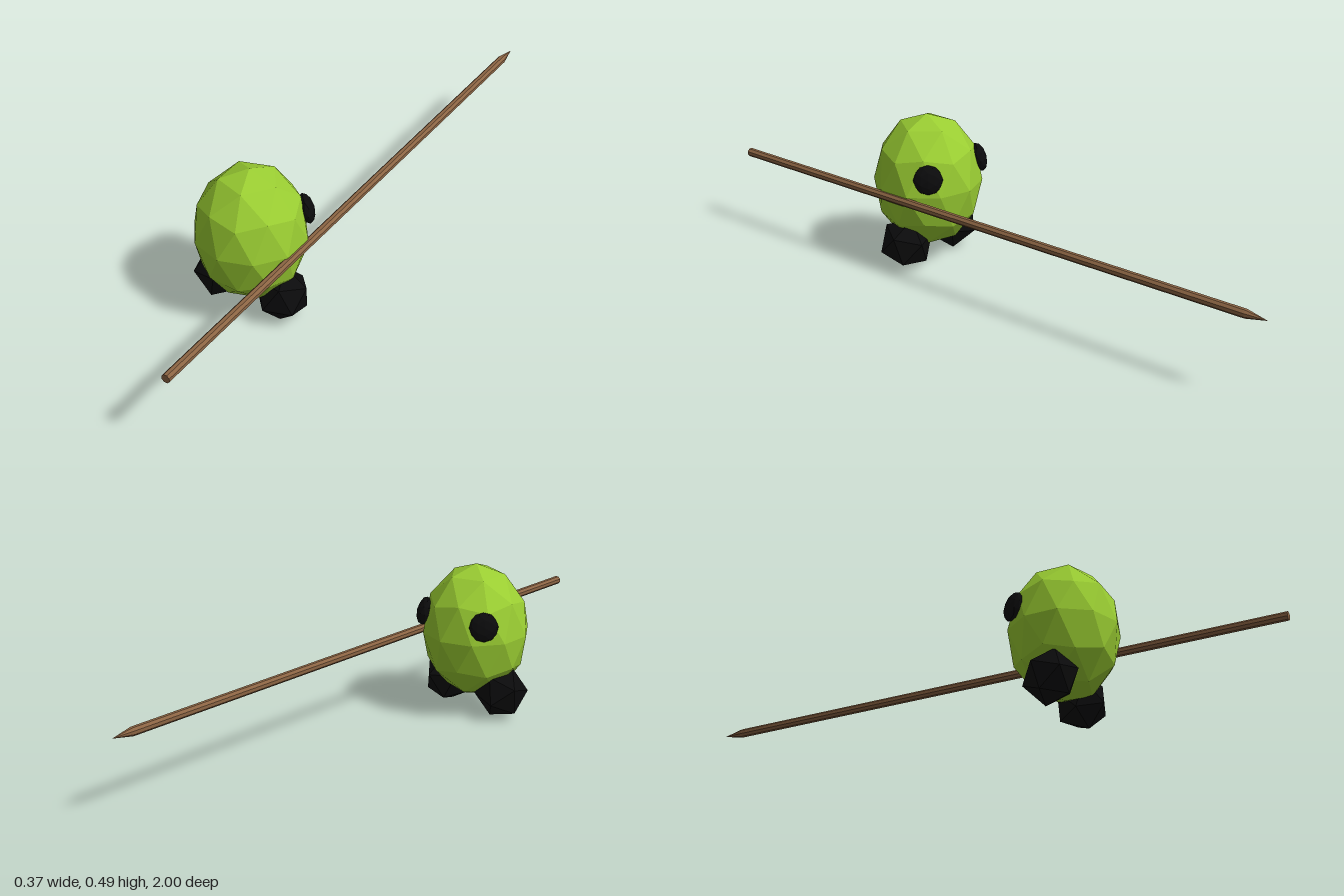
import * as THREE from 'three';

export function createModel() {
  const paint = (name, color) => {
    const m = new THREE.MeshStandardMaterial({ color, flatShading: true });
    m.name = name;
    return m;
  };
  const green = paint('lime green', 0x9acd32);
  const black = paint('black', 0x0b0b0c);
  const brown = paint('wood brown', 0x8b6443);

  const model = new THREE.Group();
  model.name = 'spearCreature';
  const add = (name, geometry, material, x, y, z) => {
    const mesh = new THREE.Mesh(geometry, material);
    mesh.name = name;
    mesh.position.set(x, y, z);
    model.add(mesh);
    return mesh;
  };

  // Body: faceted egg with one vertex at the very top
  const golden = (1 + Math.sqrt(5)) / 2;
  const egg = new THREE.IcosahedronGeometry(1, 1);
  egg.rotateZ(-Math.atan(1 / golden));
  egg.scale(0.174, 0.221, 0.174);
  add('body', egg, green, 0, 0.274, 0.354);

  // Feet: icosahedra, each turned so that the edge a-b gets its place
  const addFoot = (name, x, a, b) => {
    const u = a.clone().sub(b).normalize();
    const w = u.clone().cross(a.clone().add(b)).normalize();
    const v = w.clone().cross(u);
    const foot = new THREE.IcosahedronGeometry(0.0865, 0);
    foot.applyMatrix4(new THREE.Matrix4().makeBasis(u, v, w));
    add(name, foot, black, x, 0.0855, 0.355);
  };
  addFoot('leftFoot', 0.11,
    new THREE.Vector3(0.076, 0.0375, -0.0148), new THREE.Vector3(0.062, -0.0485, -0.0386));
  addFoot('rightFoot', -0.11,
    new THREE.Vector3(-0.077, 0.03, -0.027), new THREE.Vector3(-0.063, -0.0585, -0.0074));

  // Eyes: flattened balls set into the sides of the face, which looks towards -z
  for (const side of [1, -1]) {
    const eye = add(side > 0 ? 'leftEye' : 'rightEye',
      new THREE.IcosahedronGeometry(1, 1), black, side * 0.124, 0.335, 0.245);
    eye.scale.set(0.047, 0.047, 0.025);
    eye.lookAt(side * 0.248, 0.375, 0.136);
  }

  // Spear: long shaft and pointed tip, rising slightly towards the tip
  const spear = new THREE.Group();
  spear.name = 'spear';
  const shaft = new THREE.Mesh(new THREE.CylinderGeometry(0.014, 0.014, 1.93, 8), brown);
  shaft.name = 'spearShaft';
  shaft.position.y = 0.035 - 0.07 + 0.07;
  shaft.rotation.y = Math.PI / 8;
  const tip = new THREE.Mesh(new THREE.ConeGeometry(0.014, 0.07, 8), brown);
  tip.name = 'spearTip';
  tip.rotation.y = Math.PI / 8;
  // Along the spear, -1 is the butt and +1 the point
  shaft.position.y = -0.035;
  tip.position.y = 0.965;
  spear.add(shaft, tip);
  spear.rotation.x = -Math.PI / 2 + 0.003;
  spear.position.set(0.165, 0.2585, 0);
  model.add(spear);

  return model;
}
